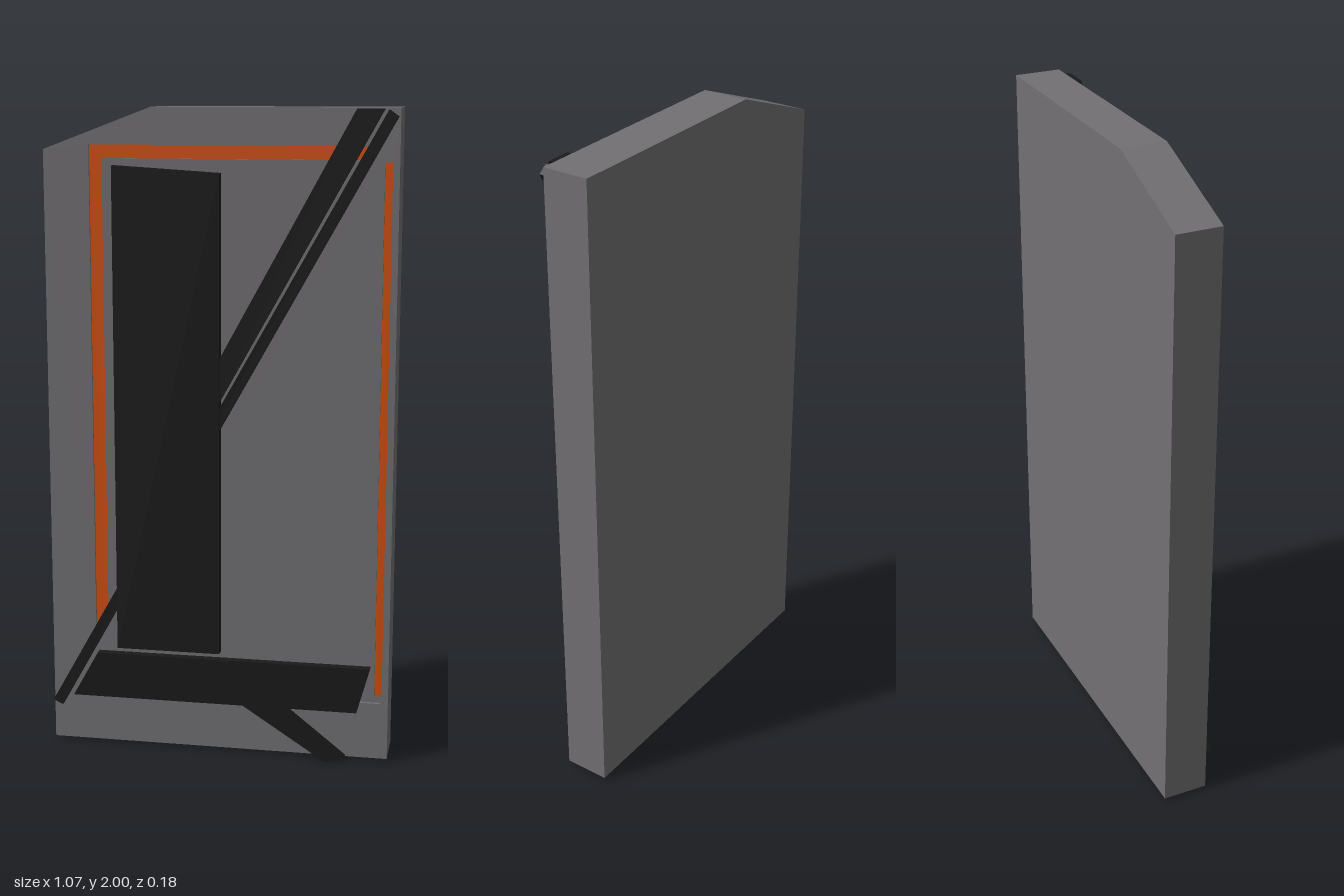
import * as THREE from 'three';

const material = color => new THREE.MeshStandardMaterial({ color, flatShading: true });

// Flat plate with the given outline (and cut-outs), filling z0..z1
function plate(name, outline, z0, z1, mat, holes = []) {
  const toPoints = list => list.map(([x, y]) => new THREE.Vector2(x, y));
  const shape = new THREE.Shape(toPoints(outline));
  for (const hole of holes) shape.holes.push(new THREE.Path(toPoints(hole)));
  const geometry = new THREE.ExtrudeGeometry(shape, { depth: z1 - z0, bevelEnabled: false });
  geometry.translate(0, 0, z0);
  const mesh = new THREE.Mesh(geometry, mat);
  mesh.name = name;
  return mesh;
}

export function createModel() {
  const group = new THREE.Group();
  group.name = 'decoratedPanel';
  const grey = material(0x727073);
  const black = material(0x1a1a1a);
  const orange = material(0xd2500f);

  // Slab with one clipped corner; its front layer is cut by shallow grooves
  const slab = [[-0.535, 0.01], [0.53, 0.01], [0.53, 2], [-0.205, 2], [-0.535, 1.875]];
  const cornerGroove = [[-0.395, 0.39], [-0.355, 0.39], [-0.355, 1.85], [0.45, 1.85], [0.45, 1.89], [-0.395, 1.89]];
  const sideGroove = [[0.3, 0.19], [0.505, 0.19], [0.51, 0.215], [0.51, 1.845], [0.487, 1.845], [0.487, 0.215], [0.3, 0.215]];
  const sideInlay = [[0.487, 0.215], [0.51, 0.215], [0.51, 1.845], [0.487, 1.845]];
  group.add(
    plate('slabBack', slab, -0.09, 0.04, grey),
    plate('slabFront', slab, 0.04, 0.05, grey, [cornerGroove, sideGroove]),
    plate('cornerInlay', cornerGroove, 0.038, 0.043, orange),
    plate('sideInlay', sideInlay, 0.038, 0.043, orange),
  );

  // Raised dark bars on the front
  const bars = [
    ['uprightBar', 0.078, [[-0.32, 0.33], [0.005, 0.33], [0.005, 1.81], [-0.32, 1.83]]],
    ['wideDiagonal', 0.07, [[-0.02, 1.084], [0.485, 1.997], [0.405, 1.997], [-0.02, 1.215]]],
    ['narrowDiagonal', 0.068, [[-0.505, 0.125], [0.525, 1.975], [0.497, 1.995], [-0.535, 0.14]]],
    ['baseBar', 0.077, [[-0.465, 0.165], [0.435, 0.165], [0.475, 0.31], [-0.385, 0.31]]],
  ];
  for (const [name, front, outline] of bars) group.add(plate(name, outline, 0.045, front, black));

  // Slanted foot crossing the base bar and reaching the ground
  const foot = [[0, 0.22], [0.34, 0], [0.4, 0.015], [0.035, 0.305], [0.01, 0.31]];
  group.add(plate('slantedFoot', foot, 0.035, 0.085, black));
  return group;
}
